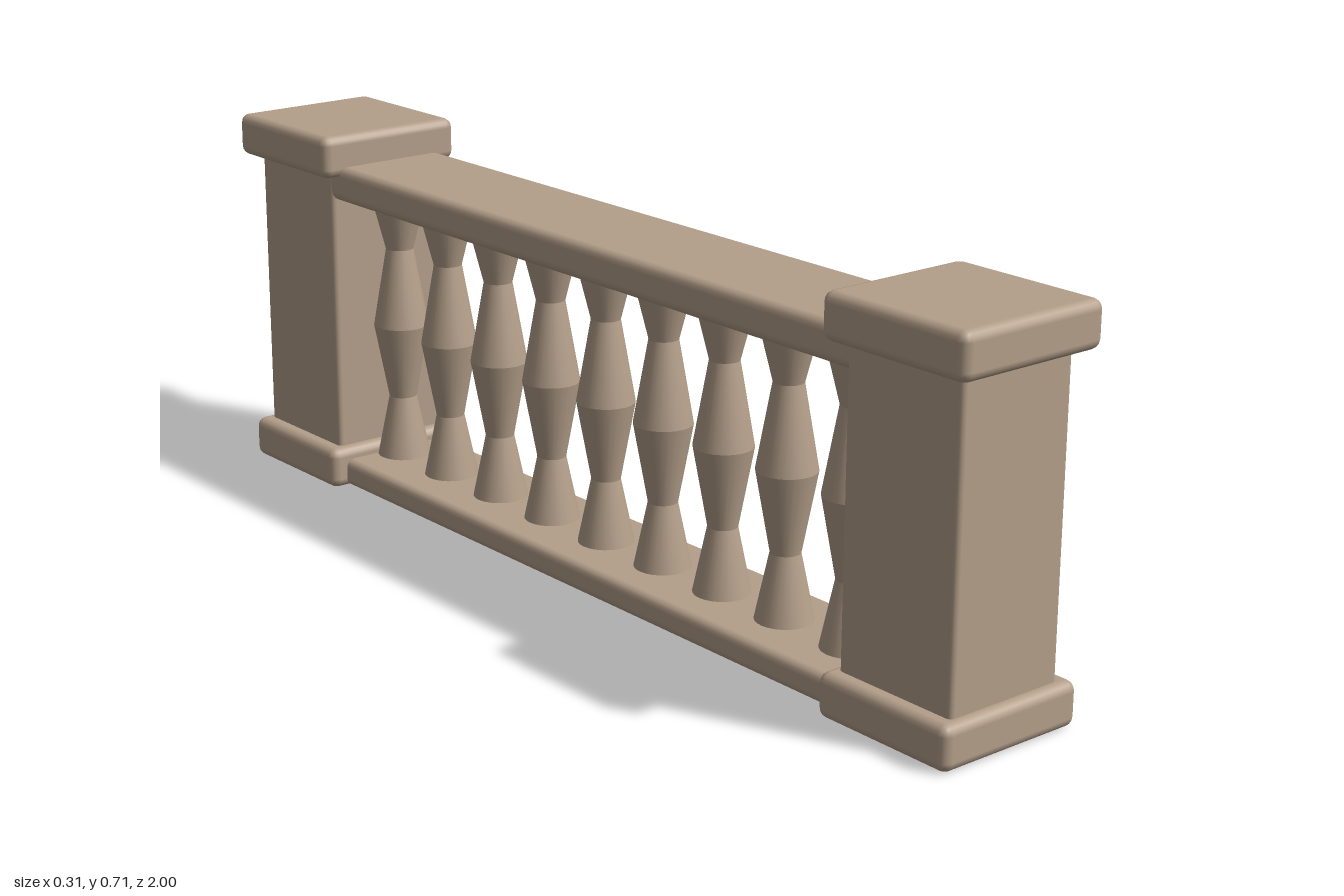
import * as THREE from 'three';
import { RoundedBoxGeometry } from 'three/addons/geometries/RoundedBoxGeometry.js';

export function createModel() {
  const model = new THREE.Group();
  model.name = 'balustrade';
  const stone = new THREE.MeshStandardMaterial({ color: 0xb49f8a });
  stone.name = 'sandstone';

  // Block with softened edges spanning y0..y1
  function block(name, width, y0, y1, depth, z, bevel, parent) {
    const mesh = new THREE.Mesh(new RoundedBoxGeometry(width, y1 - y0, depth, 2, bevel), stone);
    mesh.position.set(0, (y0 + y1) / 2, z);
    mesh.name = name;
    parent.add(mesh);
  }

  // End posts: base, shaft and cap
  for (const side of [1, -1]) {
    const post = new THREE.Group();
    post.name = side > 0 ? 'frontPost' : 'backPost';
    block('postBase', 0.3, 0, 0.08, 0.29, side * 0.843, 0.018, post);
    block('postShaft', 0.24, 0.05, 0.65, 0.25, side * 0.843, 0.01, post);
    block('postCap', 0.306, 0.63, 0.712, 0.31, side * 0.845, 0.018, post);
    model.add(post);
  }

  // Rails running between the posts
  block('bottomRail', 0.236, 0.002, 0.056, 1.5, 0, 0.016, model);
  block('topRail', 0.236, 0.581, 0.65, 1.5, 0, 0.018, model);

  // Balusters: stacked tapers, smooth around and creased at each ring
  const rings = [[0.053, 0.052], [0.027, 0.177], [0.054, 0.324], [0.027, 0.478], [0.054, 0.585]];
  const tapers = rings.slice(1).map(([r1, y1], i) => {
    const [r0, y0] = rings[i];
    return new THREE.CylinderGeometry(r1, r0, y1 - y0, 24, 1, true).translate(0, (y0 + y1) / 2, 0);
  });
  for (let i = 0; i < 9; i++) {
    const baluster = new THREE.Group();
    baluster.name = 'baluster' + (i + 1);
    for (const taper of tapers) {
      const mesh = new THREE.Mesh(taper, stone);
      mesh.name = 'balusterTaper';
      baluster.add(mesh);
    }
    baluster.position.z = 0.62 - i * 0.161;
    model.add(baluster);
  }
  return model;
}
